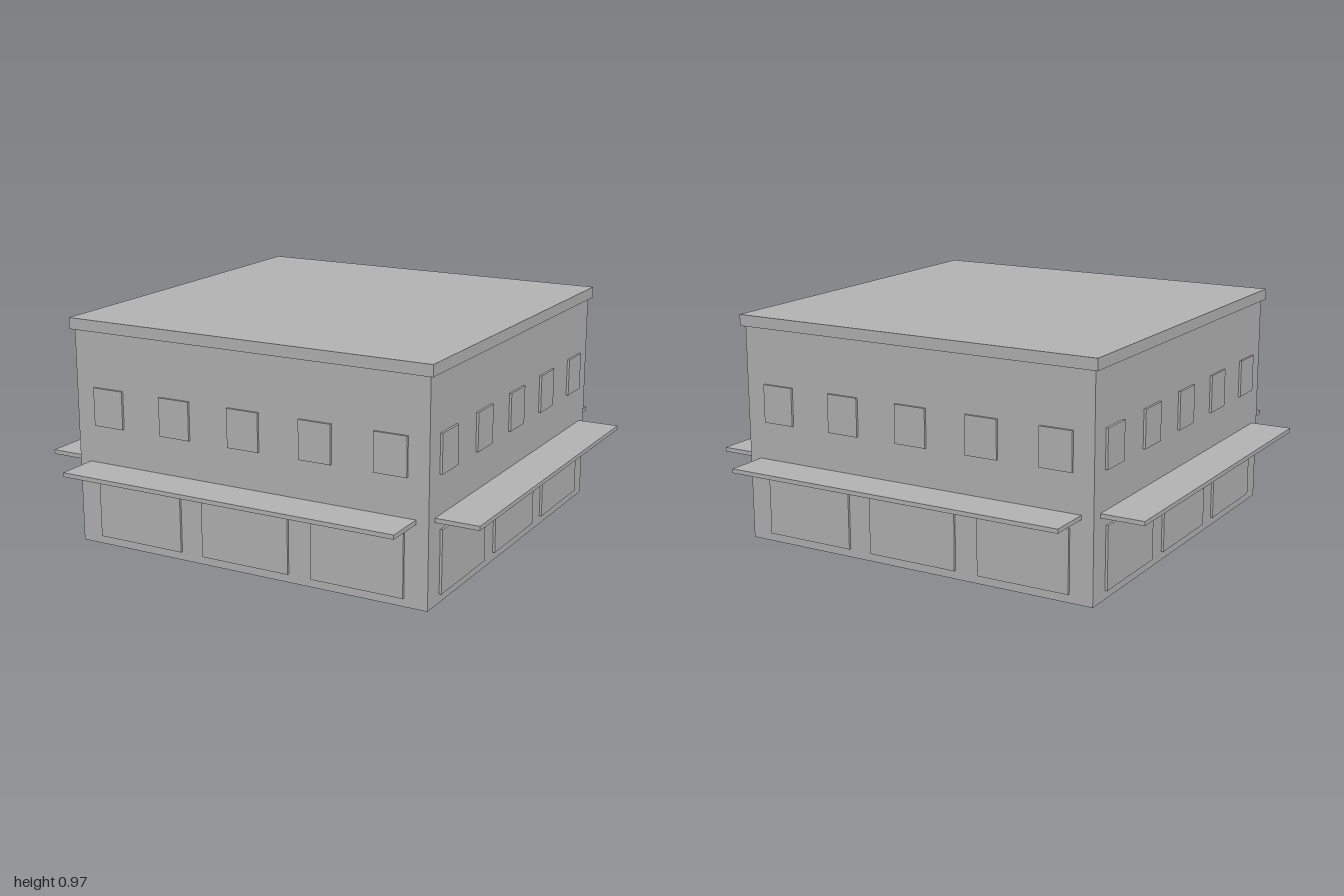
import * as THREE from 'three';

const WALL = 0.815; // half width of the square body

export function createModel() {
  const grey = new THREE.MeshStandardMaterial({ color: 0xb2b2b2 });
  grey.name = 'plain grey';

  // Box spanning y0..y1, centred on x and reaching from z0 to z1
  function box(parent, name, x, width, y0, y1, z0, z1) {
    const mesh = new THREE.Mesh(new THREE.BoxGeometry(width, y1 - y0, z1 - z0), grey);
    mesh.position.set(x, (y0 + y1) / 2, (z0 + z1) / 2);
    mesh.name = name;
    parent.add(mesh);
  }

  const building = new THREE.Group();
  building.name = 'building';

  // Main block and overhanging roof slab
  box(building, 'walls', 0, WALL * 2, 0, 0.924, -WALL, WALL);
  box(building, 'roofSlab', 0, 1.662, 0.924, 0.972, -0.831, 0.831);

  // The same facade on all four sides
  ['front', 'left', 'back', 'right'].forEach((side, i) => {
    const facade = new THREE.Group();
    facade.name = side + 'Facade';
    for (let k = -1; k <= 1; k++)
      box(facade, 'shopWindow', k * 0.511, 0.406, 0.036, 0.3, WALL - 0.01, 0.825);
    for (let k = -2; k <= 2; k++)
      box(facade, 'upperWindow', k * 0.327, 0.143, 0.522, 0.685, WALL - 0.01, 0.825);
    box(facade, 'awning', 0, 1.525, 0.342, 0.36, WALL - 0.01, 1);
    facade.rotation.y = i * Math.PI / 2;
    building.add(facade);
  });

  return building;
}
